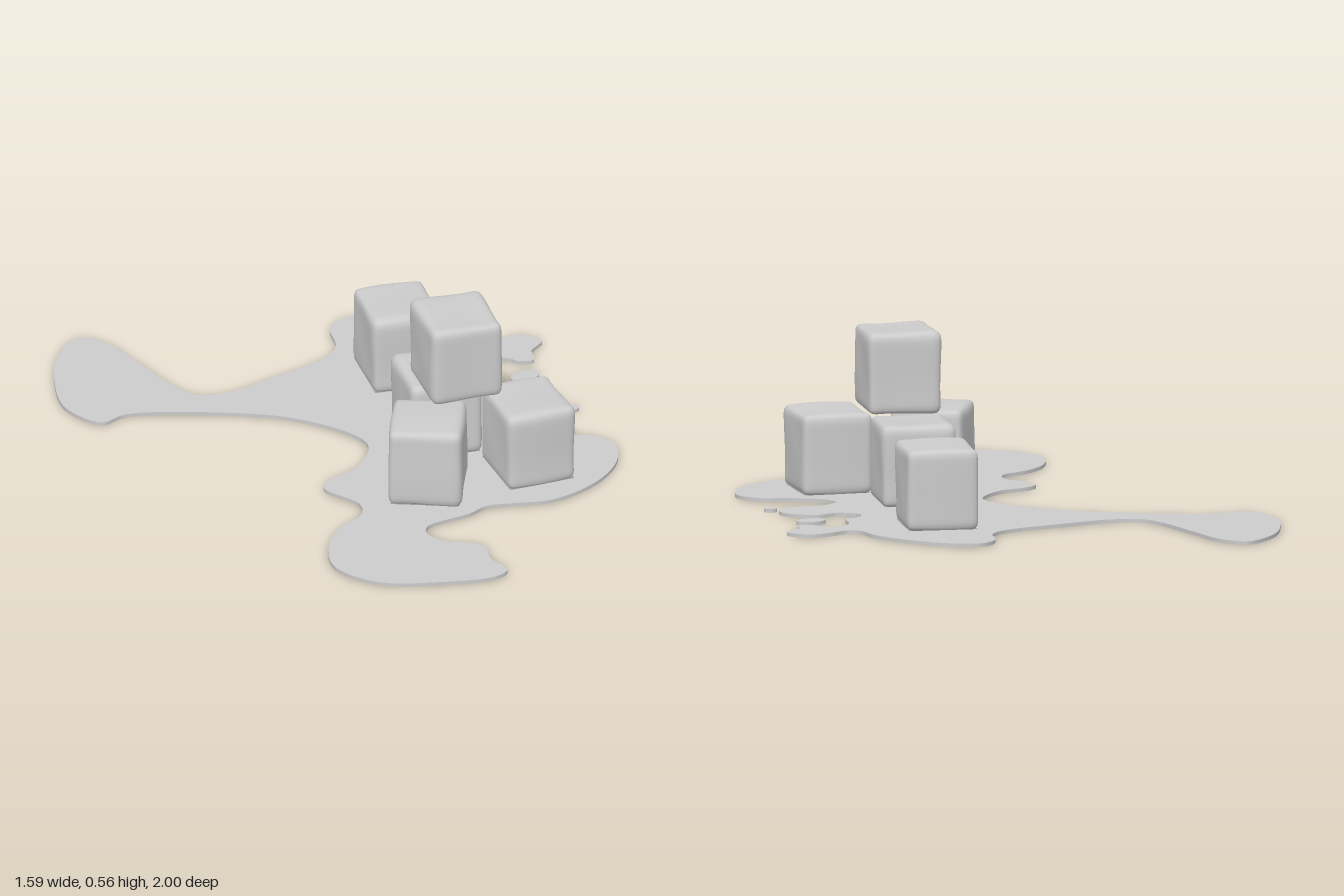
import * as THREE from 'three';
import { mergeVertices } from 'three/addons/utils/BufferGeometryUtils.js';

const SIZE = [0.24, 0.268, 0.262];   // one ice cube
const THICK = 0.012;                 // puddle depth

// x, base y, z, turn about y
const CUBES = [
  ['backCube', 0.283, 0.006, -0.394, -0.115],
  ['middleCube', 0.226, 0.006, 0.066, -0.12],
  ['frontRightCube', 0.071, 0.006, 0.36, -0.47],
  ['frontLeftCube', 0.422, 0.006, 0.362, -0.02],
  ['topCube', 0.231, 0.285, 0.217, -0.09],
];

// puddle outline as x, z pairs
const OUTLINE = [
  -0.58, -1, -0.51, -0.93, -0.47, -0.78, -0.41, -0.55, -0.365, -0.49, -0.265, -0.475,
  -0.105, -0.51, 0.105, -0.57, 0.165, -0.63, 0.19, -0.74, 0.25, -0.79, 0.345, -0.765,
  0.46, -0.66, 0.535, -0.54, 0.555, -0.455, 0.59, -0.43, 0.66, -0.46, 0.735, -0.47,
  0.79, -0.405, 0.735, -0.357, 0.715, -0.295, 0.67, -0.305, 0.64, -0.34, 0.577, -0.34,
  0.55, -0.3, 0.535, -0.22, 0.48, -0.19, 0.47, -0.14, 0.525, -0.1, 0.6, -0.12,
  0.67, -0.087, 0.7, -0.025, 0.67, 0.035, 0.61, 0.048, 0.535, 0.05, 0.475, 0.1,
  0.5, 0.16, 0.59, 0.21, 0.69, 0.24, 0.74, 0.315, 0.7, 0.435, 0.58, 0.54,
  0.41, 0.592, 0.29, 0.567, 0.195, 0.55, 0.13, 0.575, -0.025, 0.6, -0.05, 0.64,
  -0.02, 0.71, 0.055, 0.755, 0.09, 0.8, 0.075, 0.875, 0.095, 0.97, 0.04, 0.997,
  -0.13, 0.965, -0.315, 0.89, -0.41, 0.745, -0.375, 0.6, -0.29, 0.5, -0.195, 0.445,
  -0.175, 0.375, -0.24, 0.24, -0.205, 0.195, -0.09, 0.15, 0.005, 0.01, -0.13, -0.215,
  -0.345, -0.355, -0.635, -0.465, -0.73, -0.445, -0.8, -0.58, -0.765, -0.755, -0.69, -0.91,
];

const material = new THREE.MeshStandardMaterial({ color: 0xcccccc, roughness: 0.6 });

function add(group, name, geometry) {
  const mesh = new THREE.Mesh(geometry, material);
  mesh.name = name;
  group.add(mesh);
  return mesh;
}

// Worn cube: rounded edges and shallow dents that vary with the seed
function iceCube(seed) {
  const radius = 0.026;
  const half = SIZE.map((s) => s / 2);
  let g = new THREE.BoxGeometry(...SIZE, 18, 18, 18);
  g.deleteAttribute('normal');
  g.deleteAttribute('uv');
  g = mergeVertices(g);
  const p = g.attributes.position;
  const v = new THREE.Vector3(), core = new THREE.Vector3(), n = new THREE.Vector3();
  const inner = new THREE.Vector3(...half).subScalar(radius);
  for (let i = 0; i < p.count; i++) {
    v.fromBufferAttribute(p, i);
    core.copy(v).clamp(inner.clone().negate(), inner);
    n.copy(v).sub(core).normalize();
    const dent = 0.0025 * (Math.sin(v.x * 23 + seed * 2) + Math.sin(v.y * 19 + seed * 3) * Math.cos(v.z * 21 + seed) - 0.6);
    v.copy(core).addScaledVector(n, radius + dent);
    p.setXYZ(i, v.x, v.y, v.z);
  }
  g.computeVertexNormals();
  return g;
}

// Flat sheet of water lying on the ground
function sheet(shape) {
  return new THREE.ExtrudeGeometry(shape, { depth: THICK, bevelEnabled: false, curveSegments: 20 })
    .rotateX(-Math.PI / 2);
}

export function createModel() {
  const model = new THREE.Group();
  model.name = 'iceCubesInPuddle';

  // Puddle with an opening under each standing cube
  const knots = [];
  for (let i = 0; i < OUTLINE.length; i += 2) knots.push(new THREE.Vector3(OUTLINE[i], -OUTLINE[i + 1], 0));
  const curve = new THREE.CatmullRomCurve3(knots, true, 'centripetal');
  const points = curve.getPoints(knots.length * 6).slice(0, -1);
  const puddle = new THREE.Shape(points.map((q) => new THREE.Vector2(q.x, q.y)));
  for (const [, x, y, z, turn] of CUBES) {
    if (y > 0.1) continue;
    const a = SIZE[0] / 2 - 0.009, b = SIZE[2] / 2 - 0.009;
    const corners = [[-a, -b], [-a, b], [a, b], [a, -b]].map(([px, py]) =>
      new THREE.Vector2(px, py).rotateAround(new THREE.Vector2(), turn).add(new THREE.Vector2(x, -z)));
    puddle.holes.push(new THREE.Path(corners));
  }
  add(model, 'puddle', sheet(puddle));

  // Loose drops beside the puddle
  const drops = [[0.65, -0.21, 0.05, 0.034, 0.2], [0.71, 0.045, 0.021, 0.018, 0]];
  for (const [x, z, rx, rz, turn] of drops) {
    const drop = new THREE.Shape();
    drop.absellipse(x, -z, rx, rz, 0, Math.PI * 2, false, turn);
    add(model, 'drop', sheet(drop));
  }

  // Ice cubes: four standing, one stacked on top
  CUBES.forEach(([name, x, y, z, turn], i) => {
    const cube = add(model, name, iceCube(i + 1));
    cube.position.set(x, y + SIZE[1] / 2, z);
    cube.rotation.y = turn;
  });

  return model;
}
